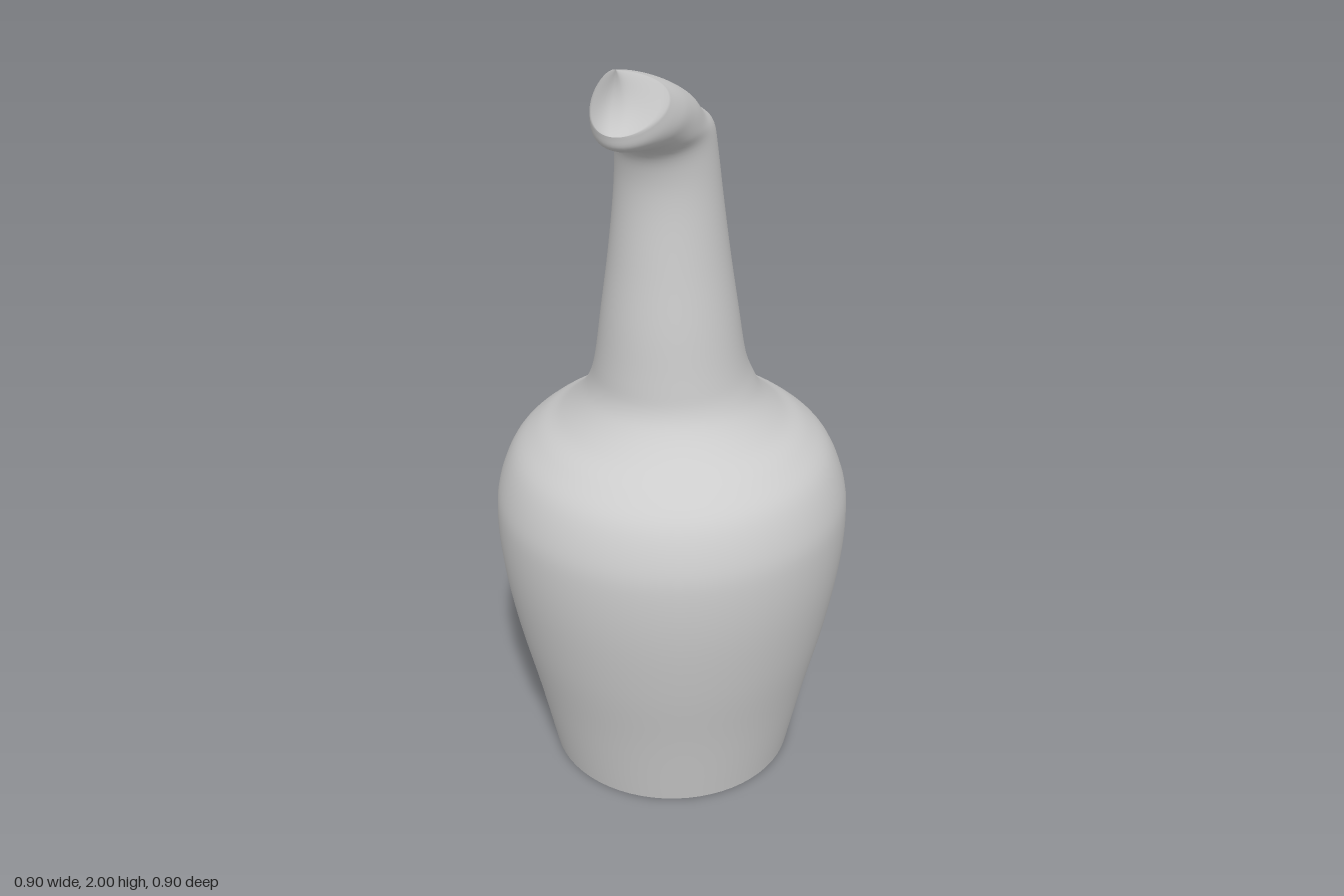
import * as THREE from 'three';
import { mergeVertices } from 'three/addons/utils/BufferGeometryUtils.js';

const SIDES = 64;

// Round lower body: [radius, height]
const body = [
  [0.32, 0], [0.363, 0.2], [0.41, 0.4], [0.442, 0.58], [0.452, 0.72], [0.442, 0.81],
  [0.405, 0.9], [0.345, 0.96], [0.285, 1.0], [0.235, 1.05], [0.207, 1.1],
].map(([r, y]) => [r, y, -r, y, r, 0, 0]);

// Neck and bent head: [front z, front y, back z, back y, half width, top pinch, side sweep]
const neck = [
  [0.198, 1.17, -0.177, 1.17, 0.187, 0, 0],
  [0.188, 1.3, -0.156, 1.3, 0.168, 0, 0],
  [0.172, 1.45, -0.132, 1.45, 0.147, 0, 0],
  [0.16, 1.6, -0.108, 1.6, 0.13, 0, 0],
  [0.165, 1.69, -0.092, 1.71, 0.121, 0, 0],
  [0.188, 1.75, -0.078, 1.782, 0.116, 0, 0],
  [0.24, 1.785, -0.01, 1.825, 0.114, 0.05, 0.01],
  [0.29, 1.8, 0.07, 1.885, 0.112, 0.15, 0.04],
  [0.33, 1.812, 0.17, 1.938, 0.108, 0.35, 0.07],
  [0.36, 1.83, 0.26, 1.974, 0.1, 0.65, 0.1],
  [0.37, 1.86, 0.34, 2.0, 0.088, 1, 0.11],
];

// Smoothly interpolate the section parameters
function sampleSections(rows, perStep) {
  const curve = (a, b, c) => new THREE.CatmullRomCurve3(
    rows.map((r) => new THREE.Vector3(r[a], r[b], r[c])), false, 'catmullrom', 0.5);
  const front = curve(0, 1, 4), back = curve(2, 3, 5), sweep = curve(6, 6, 6);
  const n = (rows.length - 1) * perStep;
  return Array.from({ length: n + 1 }, (_, i) => {
    const f = front.getPoint(i / n), b = back.getPoint(i / n);
    return [f.x, f.y, b.x, b.y, f.z, Math.max(0, b.z), sweep.getPoint(i / n).x];
  });
}

// One closed ring; shrink runs from 1 (rim) to 0 (midline of the snout)
function addRing(out, [fz, fy, bz, by, w, pinch, sweep], shrink = 1) {
  for (let j = 0; j <= SIDES; j++) {
    const t = (j / SIDES) * Math.PI * 2;
    const s = Math.sin(t), k = (1 + Math.cos(t)) / 2;
    const taper = Math.pow(Math.abs(Math.cos(t / 2)), pinch) * (1 + 0.3 * pinch);
    const x = w * s * taper * shrink;
    const y = by + (fy - by) * k;
    const z = bz + (fz - bz) * k - s * s * (sweep * shrink * shrink + 0.02 * (1 - shrink));
    out.push(x, y, z);
  }
}

function vesselGeometry() {
  const pos = [], index = [];
  const sections = sampleSections([...body, ...neck], 5);
  sections.forEach((s) => addRing(pos, s));
  // Closed snout face
  const rim = sections[sections.length - 1];
  for (let i = 7; i >= 0; i--) addRing(pos, rim, i / 8);

  const row = SIDES + 1;
  const rings = pos.length / 3 / row;
  for (let i = 0; i < rings - 1; i++) {
    for (let j = 0; j < SIDES; j++) {
      const a = i * row + j, b = a + 1, c = a + row, d = c + 1;
      index.push(a, b, c, b, d, c);
    }
  }
  const geo = new THREE.BufferGeometry();
  geo.setAttribute('position', new THREE.Float32BufferAttribute(pos, 3));
  geo.setIndex(index);
  const welded = mergeVertices(geo, 1e-5);
  welded.computeVertexNormals();
  return welded;
}

export function createModel() {
  const group = new THREE.Group();
  group.name = 'bentNeckVessel';
  const grey = new THREE.MeshStandardMaterial({ color: 0xcccccc });
  grey.name = 'light grey';

  const vessel = new THREE.Mesh(vesselGeometry(), grey);
  vessel.name = 'bodyNeckAndHead';
  group.add(vessel);

  // Flat underside
  const base = new THREE.Mesh(new THREE.CircleGeometry(0.32, SIDES), grey);
  base.name = 'base';
  base.rotation.x = Math.PI / 2;
  group.add(base);
  return group;
}
